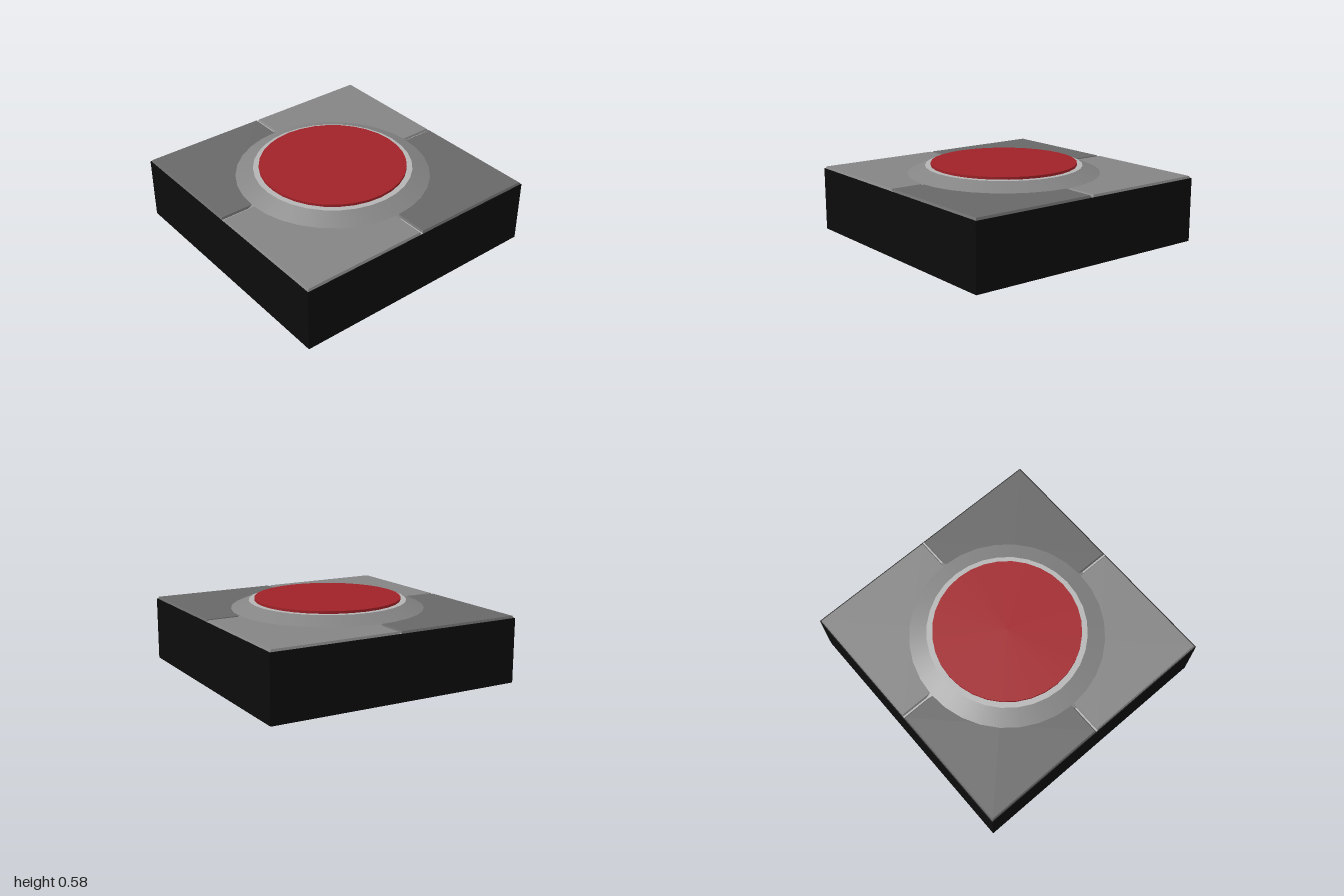
import * as THREE from 'three';

const SEGMENTS = 32;

function addPart(group, name, geometry, color, options = {}) {
  const mesh = new THREE.Mesh(geometry, new THREE.MeshStandardMaterial({ color, ...options }));
  mesh.name = name;
  group.add(mesh);
  return mesh;
}

// Revolves one straight profile segment; separate bands keep their shared edge sharp
function band(r0, y0, r1, y1) {
  return new THREE.LatheGeometry([new THREE.Vector2(r0, y0), new THREE.Vector2(r1, y1)], SEGMENTS);
}

export function createModel() {
  const model = new THREE.Group();
  model.name = 'buttonBlock';

  // Black base block
  const baseTop = 0.488;
  const base = addPart(model, 'base', new THREE.BoxGeometry(2, baseTop, 2), 0x0c0c0c);
  base.position.y = baseTop / 2;

  // Four bevelled cover plates in alternating greys
  const tileHeight = 0.016;
  const tileGeometry = new THREE.CylinderGeometry(0.485 * Math.SQRT2, 0.494 * Math.SQRT2, tileHeight, 4, 1)
    .rotateY(Math.PI / 4);
  for (const sx of [-1, 1]) {
    for (const sz of [-1, 1]) {
      const color = sx * sz > 0 ? 0x848484 : 0x686868;
      const tile = addPart(model, 'coverPlate', tileGeometry, color, { flatShading: true });
      tile.position.set(sx * 0.5, baseTop + tileHeight / 2, sz * 0.5);
    }
  }

  // Pale seams at the bottom of the grooves between the plates
  for (let i = 0; i < 4; i++) {
    const seam = addPart(model, 'grooveSeam', new THREE.BoxGeometry(0.27, 0.004, 0.012), 0xb4b4b4);
    const angle = i * Math.PI / 2;
    seam.position.set(Math.cos(angle) * 0.86, baseTop, Math.sin(angle) * 0.86);
    seam.rotation.y = angle;
  }

  // Sloping collar, running down into the grooves
  addPart(model, 'collar', band(0.772, baseTop, 0.6, 0.561), 0x848484);

  // Flat trim ring around the button
  addPart(model, 'trimRing', band(0.6, 0.561, 0.54, 0.561), 0xb4b4b4);

  // Red button
  const button = addPart(model, 'button', new THREE.CylinderGeometry(0.557, 0.557, 0.04, SEGMENTS), 0xa02228);
  button.position.y = 0.56;

  return model;
}
